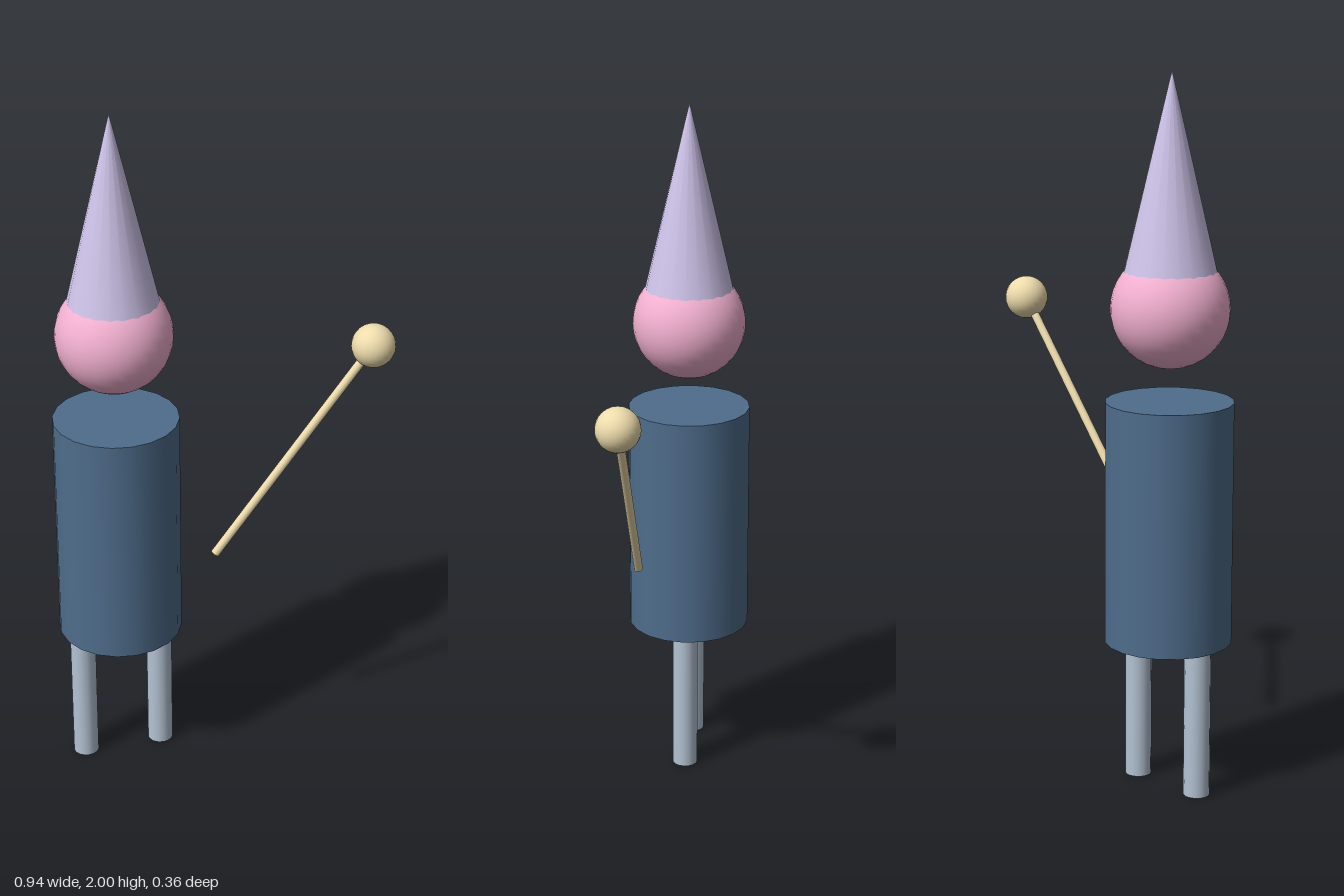
import * as THREE from 'three';

const material = (color) => new THREE.MeshStandardMaterial({ color });

function addMesh(parent, name, geometry, mat, x, y, z) {
  const mesh = new THREE.Mesh(geometry, mat);
  mesh.name = name;
  mesh.position.set(x, y, z);
  parent.add(mesh);
  return mesh;
}

export function createModel() {
  const model = new THREE.Group();
  model.name = 'gnomeWithWand';

  const clothMat = material(0x4f6d8c);
  const skinMat = material(0xf2b0d0);
  const hatMat = material(0xcfc4ea);
  const legMat = material(0xb4c3d4);
  const wandMat = material(0xeedcac);

  // Figure, standing off to one side of the wand
  const figure = new THREE.Group();
  figure.name = 'figure';
  figure.position.set(-0.298, 0, -0.005);
  model.add(figure);

  addMesh(figure, 'body', new THREE.CylinderGeometry(0.177, 0.177, 0.68, 20), clothMat, 0, 0.765, 0);
  addMesh(figure, 'head', new THREE.SphereGeometry(0.163, 32, 20), skinMat, 0, 1.36, 0);
  // The hat's base is sunk into the head
  addMesh(figure, 'hat', new THREE.ConeGeometry(0.132, 0.56, 20), hatMat, 0, 1.72, 0);

  for (const side of [-1, 1]) {
    addMesh(figure, side > 0 ? 'leftLeg' : 'rightLeg',
      new THREE.CylinderGeometry(0.037, 0.037, 0.42, 16), legMat, side * 0.114, 0.21, 0);
  }

  // Wand: a slanted stick ending in a ball
  const wand = new THREE.Group();
  wand.name = 'wand';
  model.add(wand);

  const handle = new THREE.Vector3(-0.049, 0.69, 0.118);
  const tip = new THREE.Vector3(0.408, 1.285, 0.118);
  const along = tip.clone().sub(handle);
  const middle = handle.clone().add(tip).multiplyScalar(0.5);
  const stick = addMesh(wand, 'wandStick',
    new THREE.CylinderGeometry(0.0125, 0.0125, along.length(), 12), wandMat, middle.x, middle.y, middle.z);
  stick.quaternion.setFromUnitVectors(new THREE.Vector3(0, 1, 0), along.normalize());
  addMesh(wand, 'wandBall', new THREE.SphereGeometry(0.062, 24, 16), wandMat, tip.x, tip.y, tip.z);

  return model;
}
